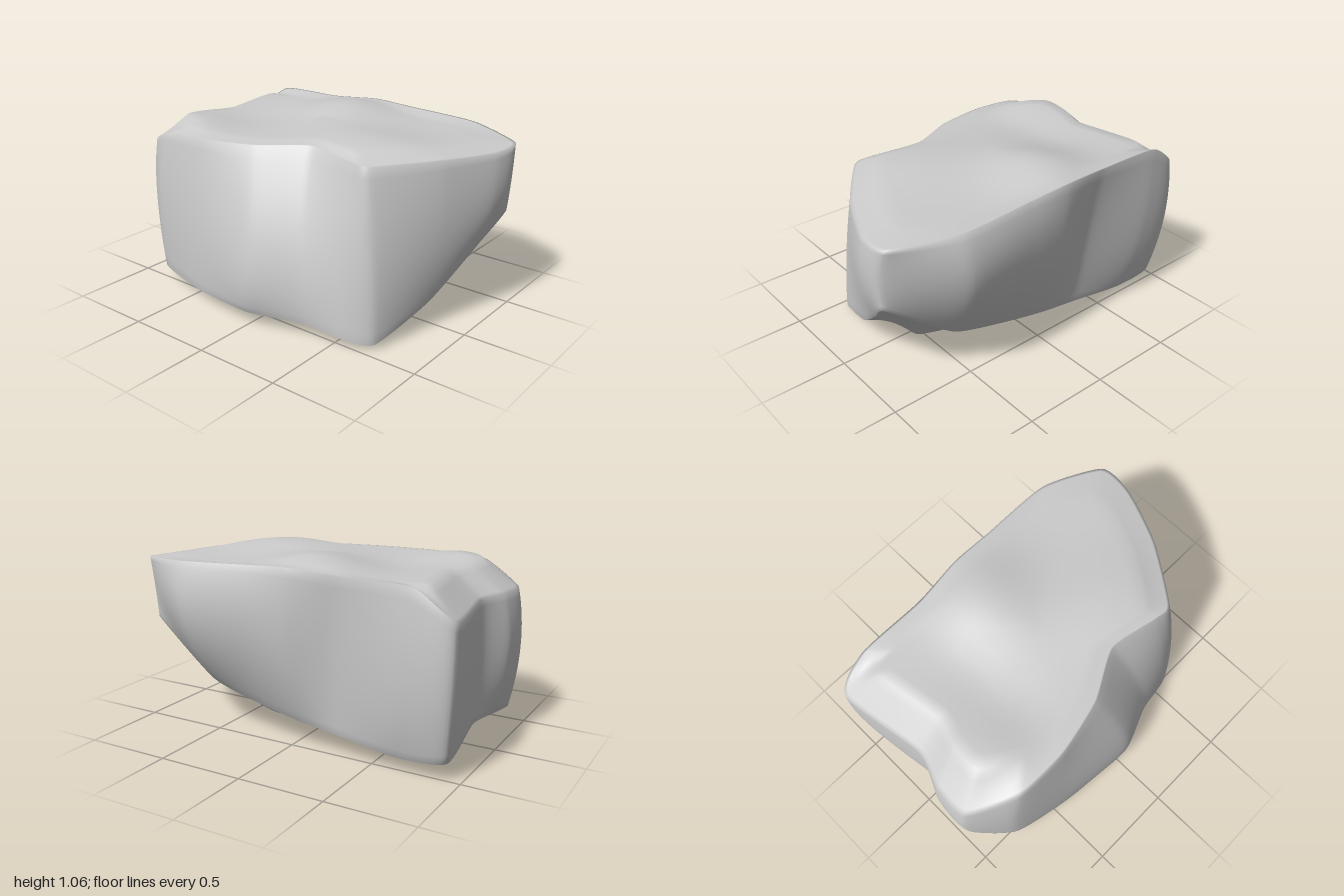
import * as THREE from 'three';

// Feature stations run round the boulder: front corner, side, back, other side, front.
const footprint = [
  [.05, .53], [.12, .36], [.14, .18], [.15, 0], [.16, -.18], [.16, -.32],
  [.14, -.45], [.02, -.46], [-.08, -.46], [-.16, -.44], [-.26, -.4], [-.36, -.25],
  [-.41, 0], [-.41, .25], [-.41, .45], [-.36, .55], [-.18, .55], [-.05, .55]].map(([x, z]) => [x, 0, z]);
const lowerEdge = [
  [.43, .6, .98], [.45, .28, .57], [.48, .19, .2], [.5, .15, -.05], [.51, .12, -.3], [.53, .08, -.65],
  [.51, .1, -.93], [.06, .15, -.89], [-.17, .14, -.92], [-.37, .13, -.94], [-.54, .1, -.76], [-.62, .08, -.4],
  [-.65, .08, 0], [-.56, .08, .33], [-.52, .05, .57], [-.43, .03, .71], [-.07, .17, .81], [.24, .43, .92]];
const middle = [
  [.44, .78, .99], [.655, .66, .61], [.65, .65, .2], [.625, .6, -.04], [.555, .53, -.3], [.61, .5, -.72],
  [.56, .48, -.97], [.04, .52, -.91], [-.18, .5, -.99], [-.38, .5, -.99], [-.55, .58, -.77], [-.61, .52, -.42],
  [-.655, .45, .02], [-.53, .5, .29], [-.48, .5, .54], [-.41, .5, .68], [-.06, .57, .86], [.25, .68, .99]];
const upperEdge = [
  [.48, .97, .98], [.63, 1, .64], [.63, 1.02, .2], [.63, 1.03, -.05], [.6, 1.01, -.35], [.6, 1, -.76],
  [.545, .84, -.97], [.04, .84, -.9], [-.17, .84, -.96], [-.38, .84, -.96], [-.53, .95, -.7], [-.54, .97, -.4],
  [-.47, .98, -.08], [-.33, .995, .2], [-.38, .98, .5], [-.37, .97, .61], [-.05, .97, .84], [.27, .96, .98]];

const COLS = 180;

// Resample one closed feature line
function ring(points) {
  const curve = new THREE.CatmullRomCurve3(
    points.map(p => new THREE.Vector3(...p)), true, 'catmullrom', 0.3);
  return Array.from({ length: COLS }, (_, i) => curve.getPoint(i / COLS));
}

const bump = (x, z, cx, cz, rx, rz) => Math.exp(-(((x - cx) / rx) ** 2) - ((z - cz) / rz) ** 2);

// Gently rolling top surface, with a shallow hollow behind its ridge
const topHeight = (x, z) => 0.99
  + 0.07 * bump(x, z, .36, -.08, .3, .28)
  + 0.04 * bump(x, z, -.1, .38, .28, .4)
  + 0.025 * bump(x, z, -.33, -.66, .2, .2)
  - 0.025 * bump(x, z, 0, -.42, .35, .2);

// Shrink the upper edge towards the centre and blend it into the top surface
function topRow(edge, s) {
  const k = Math.max(0, (s - .8) / .2);
  return edge.map(p => {
    const x = .06 + (p.x - .06) * s, z = p.z * s;
    return new THREE.Vector3(x, THREE.MathUtils.lerp(topHeight(x, z), p.y, k), z);
  });
}

function boulderGeometry() {
  const foot = ring(footprint), low = ring(lowerEdge), mid = ring(middle), high = ring(upperEdge);
  const rows = [];

  // Flat foot, from its centre outwards
  const centre = new THREE.Vector3(-.1, 0, .05);
  for (const s of [0, .35, .7, .92]) rows.push(foot.map(p => centre.clone().lerp(p, s)));

  // Sloping underside, out to the lower edge
  for (const s of [0, .1, .3, .5, .7, .88, .97])
    rows.push(foot.map((p, i) => p.clone().lerp(low[i], s)));

  // Sides, a parabola through the three feature lines
  const STEPS = 16;
  for (let j = 0; j <= STEPS; j++) {
    const t = j / STEPS;
    const a = (1 - t) * (1 - 2 * t), b = 4 * t * (1 - t), c = t * (2 * t - 1);
    rows.push(low.map((p, i) => new THREE.Vector3()
      .addScaledVector(p, a).addScaledVector(mid[i], b).addScaledVector(high[i], c)));
  }

  // Top, from the upper edge in to its centre
  for (const s of [.98, .92, .85, .8, .72, .64, .56, .48, .4, .3, .2, .1, 0]) rows.push(topRow(high, s));

  // Skin between rows, leaving out the flat triangles at the two poles
  const index = [];
  for (let r = 0; r < rows.length - 1; r++)
    for (let c = 0; c < COLS; c++) {
      const p = r * COLS + c, q = r * COLS + (c + 1) % COLS;
      if (r === rows.length - 2) index.push(p, q, p + COLS);
      else {
        if (r > 0) index.push(p, q, q + COLS);
        index.push(p, q + COLS, p + COLS);
      }
    }

  const geometry = new THREE.BufferGeometry().setFromPoints(rows.flat());
  geometry.setIndex(index);
  geometry.computeVertexNormals();

  // Shared normals for the two pole points
  const normal = geometry.attributes.normal;
  for (let c = 0; c < COLS; c++) {
    normal.setXYZ(c, 0, -1, 0);
    normal.setXYZ((rows.length - 1) * COLS + c, 0, 1, 0);
  }
  return geometry;
}

export function createModel() {
  const group = new THREE.Group();
  const boulder = new THREE.Mesh(boulderGeometry(),
    new THREE.MeshStandardMaterial({ color: 0xcccccc }));
  boulder.name = 'boulder';
  group.add(boulder);
  return group;
}
